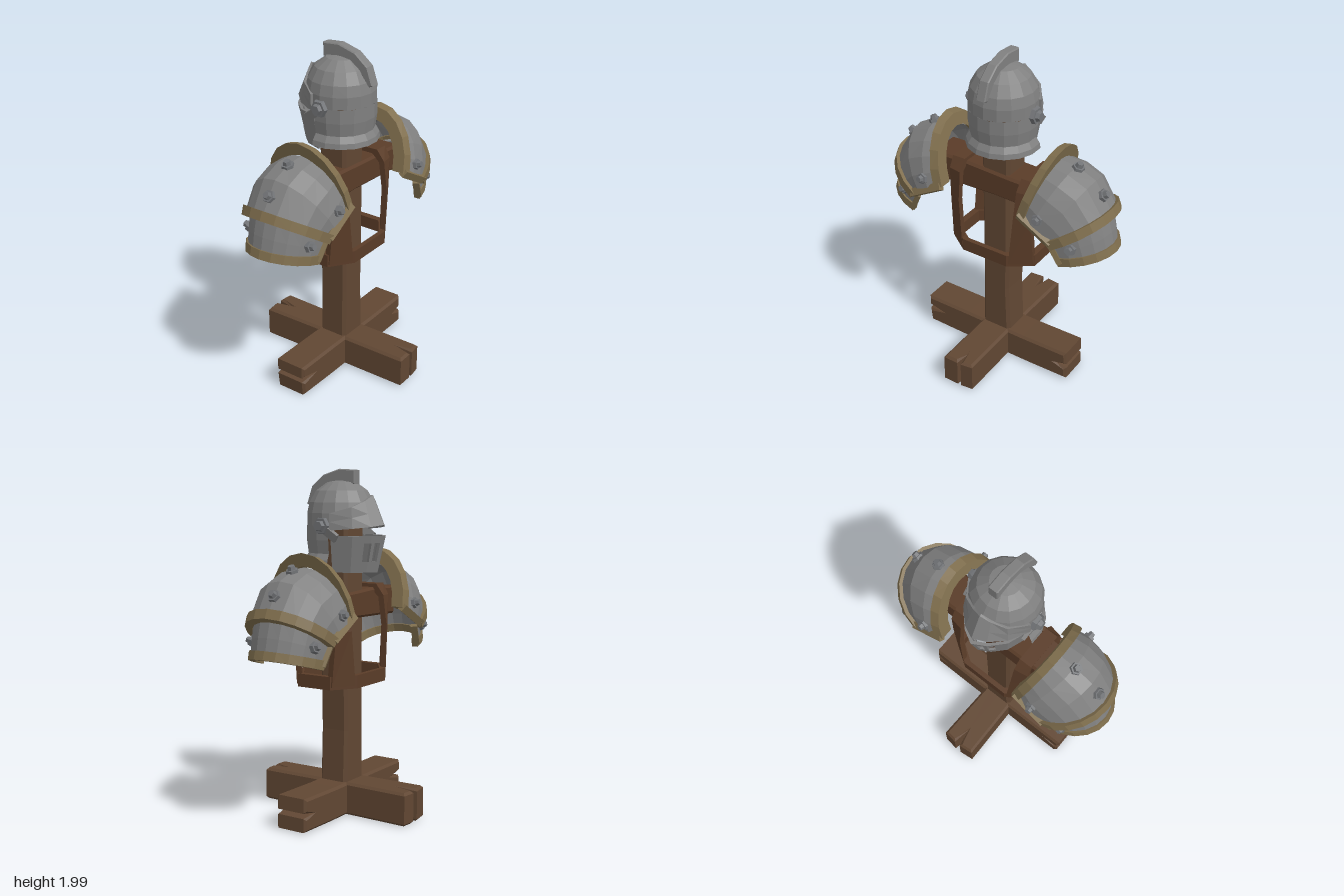
import * as THREE from 'three';

const mat = (name, color, side = THREE.FrontSide) => {
  const m = new THREE.MeshStandardMaterial({ color, side });
  m.name = name;
  return m;
};
const V = (x, y, z) => new THREE.Vector3(x, y, z);
const lerp = THREE.MathUtils.lerp;

// Facetted mesh with flat normals
function mesh(parent, name, geo, material) {
  const g = geo.index ? geo.toNonIndexed() : geo;
  g.computeVertexNormals();
  const m = new THREE.Mesh(g, material);
  m.name = name;
  parent.add(m);
  return m;
}

// Solid band: each loop lists outer points, then inner points in reverse order
function sweep(loops) {
  const n = loops[0].length, pos = [], idx = [];
  loops.forEach(l => l.forEach(p => pos.push(p.x, p.y, p.z)));
  const quad = (a, b, c, d) => idx.push(a, b, c, a, c, d);
  const last = (loops.length - 1) * n;
  for (let v = 0; v < loops.length - 1; v++)
    for (let u = 0; u < n; u++) {
      const a = v * n + u, b = v * n + (u + 1) % n;
      quad(a, b, b + n, a + n);
    }
  for (let i = 0; i < n / 2 - 1; i++) {
    quad(i, n - 1 - i, n - 2 - i, i + 1);
    quad(last + i, last + i + 1, last + n - 2 - i, last + n - 1 - i);
  }
  const g = new THREE.BufferGeometry();
  g.setAttribute('position', new THREE.Float32BufferAttribute(pos, 3));
  g.setIndex(idx);
  return g;
}

// Arched shell through stations [baseX, baseY, apexX, apexY, halfWidth]
function archShell(stations, thick) {
  const N = 10, loops = [];
  const at = ([bx, by, ax, ay, w], t, off) => {
    const len = Math.hypot(ax - bx, ay - by), k = (len - off) / len * Math.sin(t);
    return V(bx + (ax - bx) * k, by + (ay - by) * k, (w - off) * Math.cos(t));
  };
  for (let j = 0; j <= N; j++) {
    const t = Math.PI * j / N;
    loops.push([...stations.map(s => at(s, t, 0)), ...stations.map(s => at(s, t, thick)).reverse()]);
  }
  return sweep(loops);
}

// Chamfered timber from a 2D outline
function timber(points, depth, bevel = 0.014) {
  const g = new THREE.ExtrudeGeometry(new THREE.Shape(points.map(p => new THREE.Vector2(...p))), {
    depth: depth - 2 * bevel, bevelThickness: bevel, bevelSize: bevel, bevelOffset: -bevel, bevelSegments: 1
  });
  return g.translate(0, 0, bevel - depth / 2);
}

function bar(parent, name, p, q, w, h, material) {
  const m = mesh(parent, name, new THREE.BoxGeometry(w, h, p.distanceTo(q)), material);
  m.position.copy(p).lerp(q, 0.5);
  m.quaternion.setFromUnitVectors(V(0, 0, 1), q.clone().sub(p).normalize());
}

function bolt(parent, p, n, r, material) {
  const b = new THREE.Group();
  b.name = 'bolt';
  mesh(b, 'boltFlange', new THREE.CylinderGeometry(r * 0.9, r, 0.024, 6), material);
  mesh(b, 'boltHead', new THREE.CylinderGeometry(r * 0.5, r * 0.65, 0.024, 6).translate(0, 0.022, 0), material);
  b.position.copy(p);
  b.quaternion.setFromUnitVectors(V(0, 1, 0), n.normalize());
  parent.add(b);
}

export function createModel() {
  const wood = mat('wood', 0x614733), frameWood = mat('frame wood', 0x5a3c28);
  const metal = mat('steel', 0x808080, THREE.DoubleSide), boltMetal = mat('bolt steel', 0x727477);
  const trim = mat('bronze trim', 0x7f6e4d);
  const root = new THREE.Group();
  root.name = 'armorStand';

  // Crossed feet with split ends
  const foot = [[-0.5, 0.01], [-0.25, 0.005], [0.25, 0.005], [0.51, 0.01], [0.51, 0.09], [0.43, 0.105],
    [0.51, 0.12], [0.505, 0.2], [0.2, 0.195], [-0.2, 0.2], [-0.51, 0.2], [-0.51, 0.13], [-0.4, 0.115], [-0.51, 0.1]];
  mesh(root, 'sideFoot', timber(foot, 0.2), wood);
  const footZ = [[-0.095, -0.5], [0.0, -0.5], [0.012, -0.4], [0.025, -0.5], [0.1, -0.49], [0.095, 0],
    [0.105, 0.49], [0.02, 0.5], [0.0, 0.38], [-0.02, 0.5], [-0.11, 0.49], [-0.1, 0]];
  mesh(root, 'frontFoot', timber(footZ, 0.193).rotateX(-Math.PI / 2).translate(0, 0.101, 0), wood);

  // Post and shoulder beam
  mesh(root, 'post', timber([[-0.095, 0.1], [0.1, 0.1], [0.085, 0.5], [0.09, 0.8], [0.09, 1.69], [-0.095, 1.69],
    [-0.09, 0.8], [-0.09, 0.5]], 0.18, 0.018), wood);
  mesh(root, 'shoulderBeam', timber([[-0.42, 1.14], [0, 1.15], [0.42, 1.135], [0.42, 1.29], [0.1, 1.3], [-0.2, 1.315],
    [-0.42, 1.31]], 0.21), frameWood);

  // Torso frame: hoop and two hanging straps
  const oct = [[0.285, 0.11], [0.15, 0.205], [-0.15, 0.205], [-0.285, 0.11], [-0.285, -0.11], [-0.15, -0.205],
    [0.15, -0.205], [0.285, -0.11]].map(p => new THREE.Vector2(...p));
  const hoop = new THREE.Shape(oct);
  hoop.holes.push(new THREE.Path(oct.map(p => p.clone().multiplyScalar(0.86))));
  mesh(root, 'waistHoop', new THREE.ExtrudeGeometry(hoop, { depth: 0.075, bevelEnabled: false })
    .rotateX(-Math.PI / 2).translate(0, 0.775, 0), frameWood);
  // rows: y, inner x, inner z, outer x, outer z, drop of underside
  const rows = [[0.79, 0.16, 0.2, 0.28, 0.12, 0], [1.1, 0.185, 0.19, 0.272, 0.145, 0],
    [1.27, 0.19, 0.165, 0.27, 0.15, 0.01], [1.335, 0.19, 0.115, 0.27, 0.115, 0.03]];
  const strapLoop = ([y, xi, zi, xo, zo, d], s) => [V(xi, y, s * zi), V(xo, y, s * zo),
    V(xo - 0.005, y - d, s * (zo - 0.035)), V(xi, y - d, s * (zi - 0.035))];
  for (const a of [0, Math.PI]) {
    const loops = [...rows.map(r => strapLoop(r, 1)), ...rows.slice().reverse().map(r => strapLoop(r, -1))];
    mesh(root, 'shoulderStrap', sweep(loops), frameWood).rotation.y = a;
  }

  // Shoulder guards
  for (const a of [0, Math.PI]) {
    const g = new THREE.Group();
    g.name = a ? 'rightShoulderGuard' : 'leftShoulderGuard';
    g.rotation.y = a;
    root.add(g);
    mesh(g, 'upperPlate', archShell([[0.27, 1.19, 0.365, 1.46, 0.245], [0.34, 1.15, 0.47, 1.45, 0.27],
      [0.41, 1.11, 0.59, 1.4, 0.268], [0.47, 1.08, 0.7, 1.23, 0.25]], 0.02), metal);
    mesh(g, 'collarTrim', archShell([[0.25, 1.2, 0.345, 1.53, 0.258], [0.3, 1.18, 0.395, 1.54, 0.27]], 0.075), trim);
    mesh(g, 'upperRimTrim', archShell([[0.445, 1.1, 0.7, 1.265, 0.278], [0.475, 1.055, 0.722, 1.215, 0.27]], 0.045), trim);
    mesh(g, 'lowerPlate', archShell([[0.45, 1.1, 0.675, 1.21, 0.232], [0.475, 1.02, 0.705, 1.11, 0.222],
      [0.5, 0.95, 0.725, 1.02, 0.212]], 0.02), metal);
    mesh(g, 'lowerRimTrim', archShell([[0.488, 0.98, 0.73, 1.045, 0.226], [0.503, 0.93, 0.745, 0.998, 0.222]], 0.04), trim);
    for (const s of [1, -1]) {
      bar(g, 'upperEdgeTrim', V(0.26, 1.2, s * 0.252), V(0.47, 1.085, s * 0.257), 0.035, 0.045, trim);
      bar(g, 'lowerEdgeTrim', V(0.445, 1.07, s * 0.226), V(0.507, 0.95, s * 0.21), 0.03, 0.04, trim);
      bolt(g, V(0.385, 1.215, s * 0.262), V(0.1, 0.2, s), 0.035, boltMetal);
      bolt(g, V(0.565, 1.06, s * 0.21), V(0.15, 0.3, s), 0.035, boltMetal);
    }
    bolt(g, V(0.48, 1.444, 0), V(0.35, 1, 0), 0.038, boltMetal);
    bolt(g, V(0.64, 1.325, 0), V(1, 0.7, 0), 0.038, boltMetal);
  }

  // Helmet skull: full dome above, open at the face below
  const helmet = new THREE.Group();
  helmet.name = 'helmet';
  root.add(helmet);
  const prof = [[0.2, 1.68], [0.2, 1.75], [0.187, 1.81], [0.15, 1.875], [0.085, 1.922], [0, 1.937]];
  const pts = list => list.map(p => new THREE.Vector2(...p));
  mesh(helmet, 'skull', new THREE.LatheGeometry(pts(prof), 16), metal);
  mesh(helmet, 'neckGuard', new THREE.LatheGeometry(
    pts([[0.217, 1.46], [0.212, 1.49], [0.19, 1.525], [0.2, 1.6], [0.2, 1.68]]), 9, -1.77, 3.54), metal);

  // Crest
  const crest = [[-0.2, 1.79], [-0.225, 1.8], [-0.19, 1.9], [-0.11, 1.965], [0, 1.997], [0.105, 1.99], [0.105, 1.91],
    [0, 1.925], [-0.1, 1.9], [-0.16, 1.84]];
  mesh(helmet, 'crest', timber(crest, 0.06, 0.006).rotateY(Math.PI / 2), metal);

  // Face plates follow a pointed plan that narrows toward chin and brow
  const plan = [[0, -0.292], [0.075, -0.25], [0.15, -0.17], [0.192, -0.05]];
  const domeR = y => {
    for (let i = 1; i < prof.length; i++)
      if (y <= prof[i][1]) return lerp(prof[i - 1][0], prof[i][0], Math.max(0, (y - prof[i - 1][1]) / (prof[i][1] - prof[i - 1][1])));
    return 0;
  };
  const facePoint = (t, y, k) => {
    const f = Math.abs(t) * 3, i = Math.min(2, Math.floor(f));
    const x = lerp(plan[i][0], plan[i + 1][0], f - i), z = lerp(plan[i][1], plan[i + 1][1], f - i);
    let s = y < 1.63 ? 1 - (1.63 - y) * 0.85 : 1 - Math.max(0, y - 1.66) * 1.5;
    if (y > 1.64) s = Math.max(s, (domeR(y) + 0.014) / Math.hypot(x, z));
    return V(Math.sign(t) * x * s * k, y, z * s * k);
  };
  function facePlate(name, t0, t1, top, bottom) {
    const ts = [t1, ...[2 / 3, 1 / 3, 0, -1 / 3, -2 / 3].filter(t => t > t0 + 0.001 && t < t1 - 0.001), t0];
    mesh(helmet, name, sweep(ts.map(t => {
      const ys = [0, 0.5, 1].map(f => lerp(top(t), bottom(t), f));
      return [...ys.map(y => facePoint(t, y, 1)), ...ys.map(y => facePoint(t, y, 0.93)).reverse()];
    })), metal);
  }
  facePlate('brow', -1, 1, t => 1.85 - 0.1 * Math.abs(t), t => 1.685 - 0.03 * Math.abs(t));
  facePlate('visorTopRail', -1, 1, () => 1.625, () => 1.585);
  facePlate('visorChin', -1, 1, () => 1.48, () => 1.42);
  for (const [a, b] of [[-1, -0.45], [-0.31, -0.23], [-0.09, 0.09], [0.23, 0.31], [0.45, 1]])
    facePlate('visorBar', a, b, () => 1.585, () => 1.48);

  // Visor hinges
  for (const s of [1, -1]) {
    bar(helmet, 'hingeArm', V(s * 0.2, 1.68, 0.01), V(s * 0.19, 1.61, -0.09), 0.022, 0.05, metal);
    bolt(helmet, V(s * 0.207, 1.68, 0), V(s, 0, 0), 0.052, boltMetal);
  }
  return root;
}
